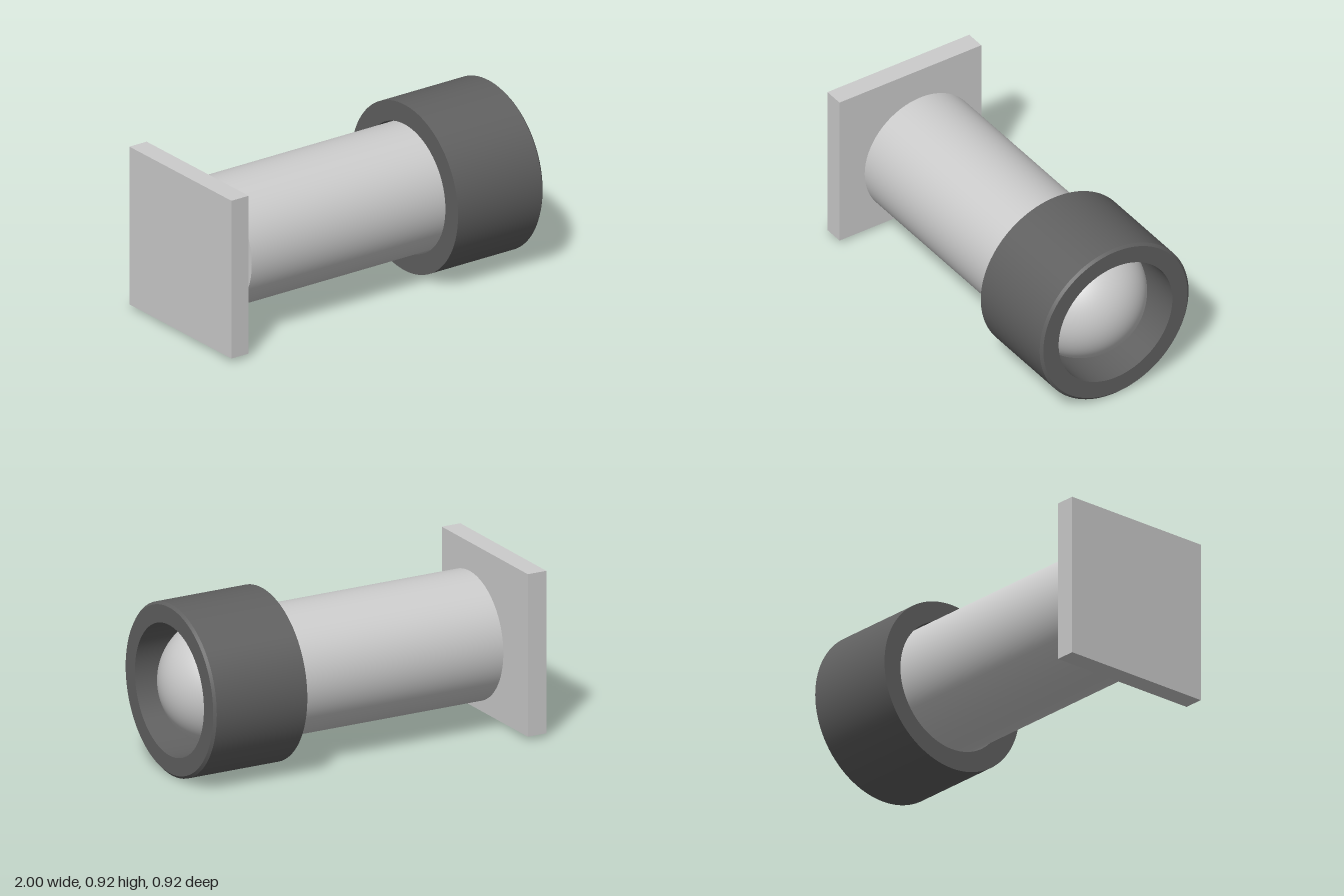
import * as THREE from 'three';

const AXIS_Y = 0.463;

export function createModel() {
  const model = new THREE.Group();
  const grey = new THREE.MeshStandardMaterial({ color: 0xcccccc });
  const dark = new THREE.MeshStandardMaterial({ color: 0x606060 });

  const add = (name, geometry, material, x) => {
    const mesh = new THREE.Mesh(geometry, material);
    mesh.name = name;
    mesh.position.set(x, AXIS_Y, 0);
    model.add(mesh);
    return mesh;
  };

  // Revolve straight [radius, x] segments about the x axis, keeping hard edges
  const revolve = (name, profile, material) => {
    const group = new THREE.Group();
    group.name = name;
    group.position.y = AXIS_Y;
    group.rotation.z = -Math.PI / 2;
    for (let i = 0; i < profile.length - 1; i++) {
      const points = [profile[i], profile[i + 1]].map(([r, x]) => new THREE.Vector2(r, x));
      const mesh = new THREE.Mesh(new THREE.LatheGeometry(points, 96), material);
      mesh.name = name + 'Surface';
      group.add(mesh);
    }
    model.add(group);
  };

  // Square plate standing clear of the tube's rear end
  add('backPlate', new THREE.BoxGeometry(0.11, 0.88, 0.88), grey, -0.945);

  // Solid barrel running into the hood
  const barrel = add('barrel', new THREE.CylinderGeometry(0.345, 0.345, 1.455, 96), grey, -0.0725);
  barrel.rotation.z = -Math.PI / 2;

  // Hemispherical lens on the barrel's front end
  const lens = add('lens',
    new THREE.SphereGeometry(0.345, 96, 32, 0, Math.PI * 2, 0, Math.PI / 2), grey, 0.655);
  lens.rotation.z = -Math.PI / 2;

  // Dark open hood with a chamfered front rim and a thin gap round the barrel
  revolve('hood', [
    [0.353, 0.43], [0.462, 0.43], [0.462, 0.967],
    [0.448, 0.98], [0.353, 0.98], [0.353, 0.43],
  ], dark);

  return model;
}
